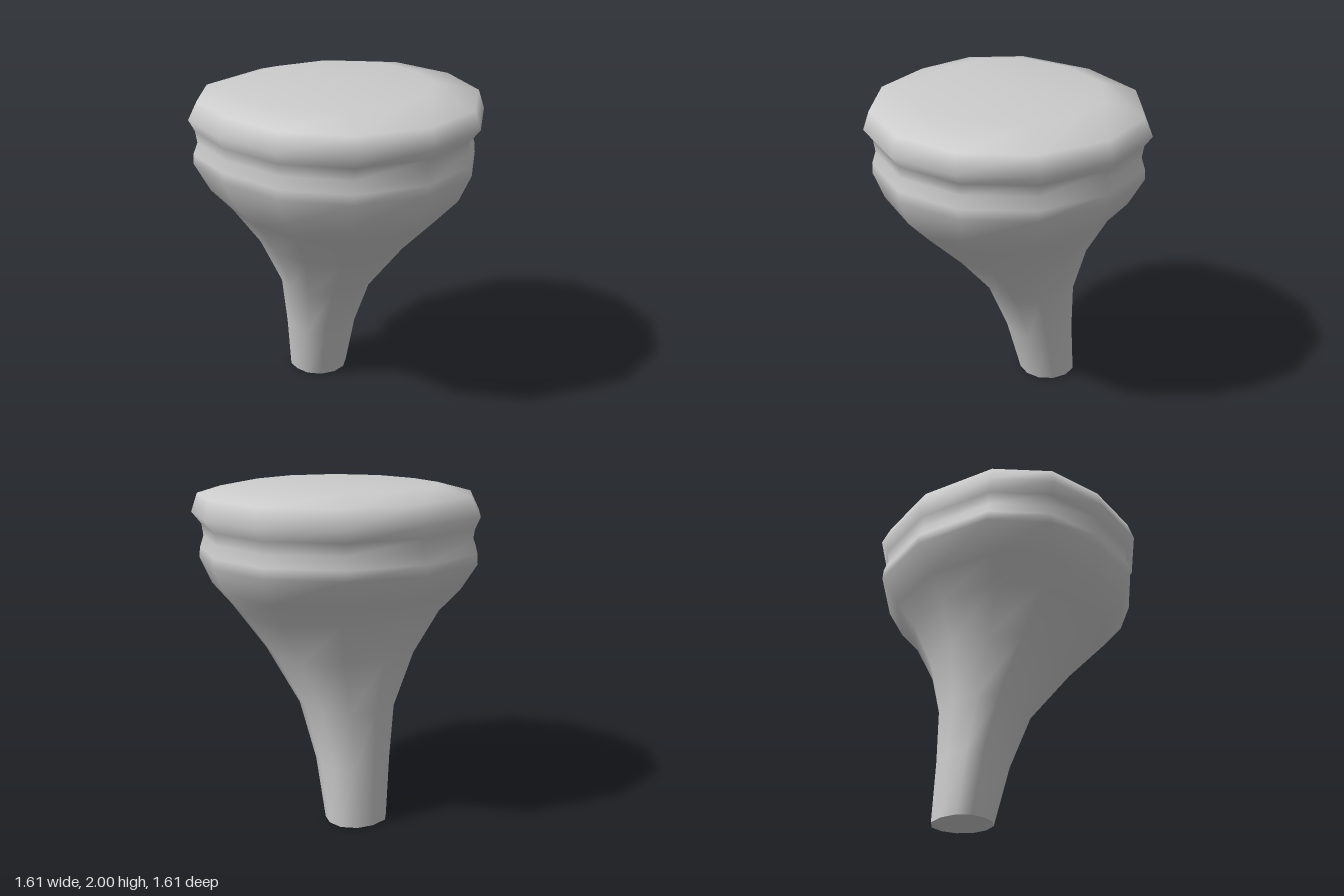
import * as THREE from 'three';

// Slightly irregular twelve-sided outline, about one unit in radius
const OUTLINE = [
  [-0.28, -1], [0.25, -0.99], [0.72, -0.73], [1, -0.26], [1, 0.26], [0.73, 0.73],
  [0.27, 0.99], [-0.25, 1], [-0.7, 0.86], [-0.98, 0.5], [-1, -0.12], [-0.76, -0.67],
];

// Cross-sections from foot to crown: y, xMin, xMax, zMin, zMax
const SECTIONS = [
  [0, -0.47, -0.13, -0.28, 0.07],
  [0.36, -0.455, -0.035, -0.285, 0.13],
  [0.69, -0.44, 0.1, -0.32, 0.215],
  [1.01, -0.495, 0.355, -0.435, 0.405],
  [1.26, -0.595, 0.59, -0.58, 0.6],
  [1.39, -0.705, 0.705, -0.69, 0.71],
  [1.55, -0.805, 0.77, -0.77, 0.775],
  [1.61, -0.8, 0.765, -0.765, 0.775],
  [1.68, -0.77, 0.74, -0.745, 0.755],
  [1.75, -0.78, 0.75, -0.755, 0.765],
  [1.82, -0.805, 0.805, -0.805, 0.805],
  [1.93, -0.75, 0.77, -0.765, 0.765],
  [1.985, -0.57, 0.51, -0.52, 0.56],
];

const ring = ([y, x0, x1, z0, z1]) => OUTLINE.map(([u, v]) => [
  (x0 + x1) / 2 + u * (x1 - x0) / 2, y, (z0 + z1) / 2 + v * (z1 - z0) / 2,
]);

function makeMesh(name, points, index) {
  const geometry = new THREE.BufferGeometry();
  geometry.setAttribute('position', new THREE.Float32BufferAttribute(points.flat(), 3));
  geometry.setIndex(index);
  geometry.computeVertexNormals();
  const mesh = new THREE.Mesh(geometry, new THREE.MeshStandardMaterial({ color: 0xcccccc }));
  mesh.name = name;
  return mesh;
}

export function createModel() {
  const group = new THREE.Group();
  group.name = 'leaningKnob';
  const n = OUTLINE.length;

  // Leaning stem, grooved head and shallow crown as one smooth skin
  const points = SECTIONS.flatMap(ring);
  const index = [];
  for (let s = 0; s < SECTIONS.length - 1; s++) {
    for (let i = 0; i < n; i++) {
      const a = s * n + i, b = s * n + (i + 1) % n;
      index.push(a, a + n, b, b, a + n, b + n);
    }
  }
  const centre = points.length, last = centre - n;
  points.push([-0.05, 2, 0]);
  for (let i = 0; i < n; i++) index.push(last + i, centre, last + (i + 1) % n);
  group.add(makeMesh('stemAndHead', points, index));

  // Flat underside of the stem
  const foot = [...ring(SECTIONS[0]), [-0.3, 0, -0.105]];
  const footIndex = [];
  for (let i = 0; i < n; i++) footIndex.push(n, i, (i + 1) % n);
  group.add(makeMesh('footCap', foot, footIndex));

  return group;
}
